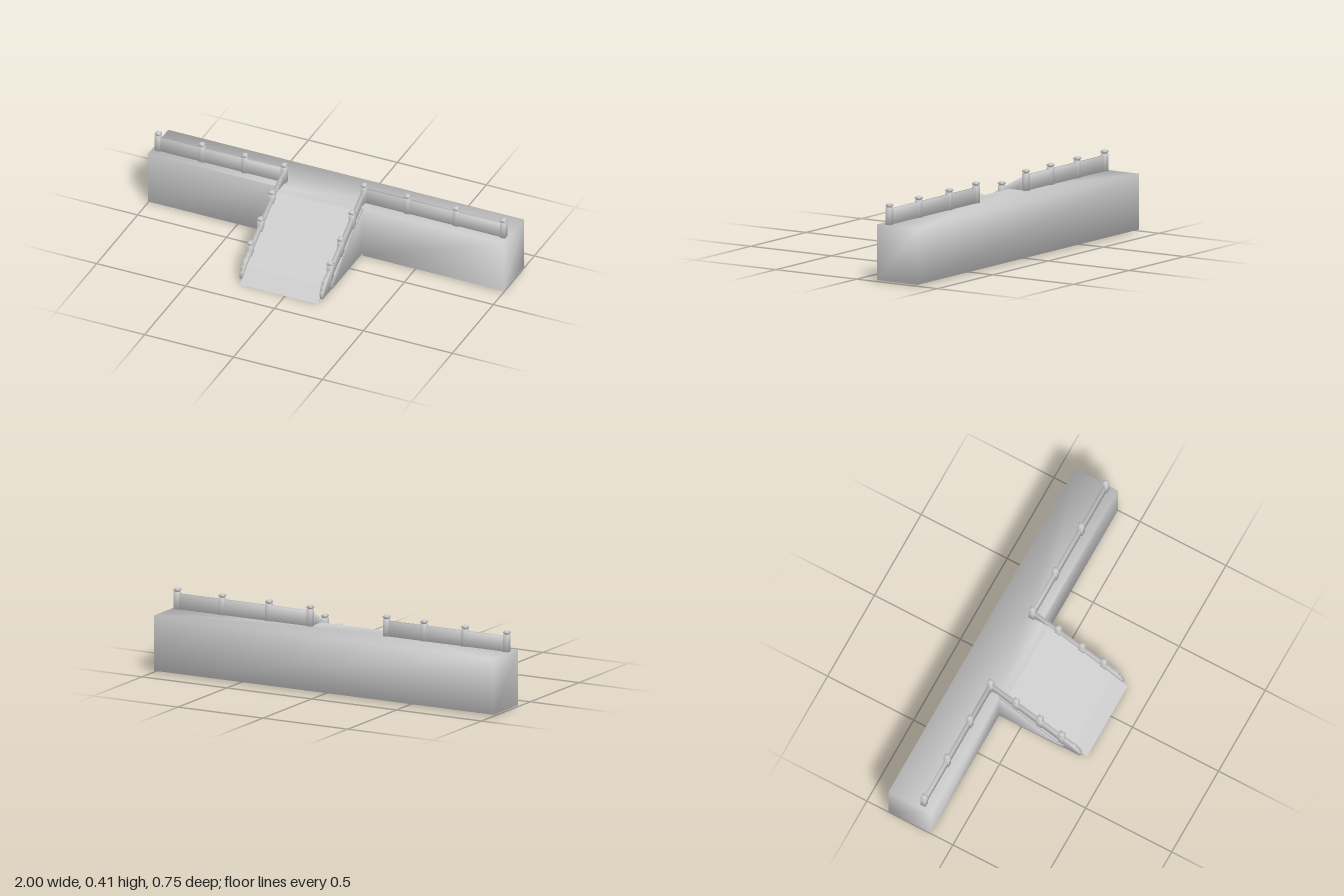
import * as THREE from 'three';

const CENTER = -0.035; // middle of the stair ramp in x
const SIDE = 0.225; // distance from ramp middle to its railings
const LEFT = 0.184, RIGHT = -0.252; // ramp edges
const TOP = 0.3, BASE = 0.01, BACK = -0.375, FRONT = -0.127, LANDING = -0.085, RAIL_Z = -0.184;
const material = new THREE.MeshStandardMaterial({ color: 0xcccccc, side: THREE.DoubleSide });

function add(parent, name, geometry, x = 0, y = 0, z = 0) {
  const mesh = new THREE.Mesh(geometry, material);
  mesh.name = name;
  mesh.position.set(x, y, z);
  parent.add(mesh);
}

// Rounded shading: corners closer than reach share one normal, weighted by face angle
function soften(geometry, reach = 0.001) {
  const g = geometry.index ? geometry.toNonIndexed() : geometry;
  const p = g.attributes.position;
  const points = [], weighted = [], normals = [];
  for (let i = 0; i < p.count; i++) points.push(new THREE.Vector3().fromBufferAttribute(p, i));
  for (let i = 0; i < p.count; i++) {
    const first = i - (i % 3);
    const next = points[first + ((i + 1) % 3)].clone().sub(points[i]);
    const last = points[first + ((i + 2) % 3)].clone().sub(points[i]);
    weighted.push(next.clone().cross(last).normalize().multiplyScalar(next.angleTo(last)));
  }
  points.forEach((point, i) => {
    const n = new THREE.Vector3();
    points.forEach((other, j) => { if (point.distanceTo(other) < reach) n.add(weighted[j]); });
    if (n.length() < 0.01) n.copy(weighted[i]);
    normals.push(...n.normalize().toArray());
  });
  g.setAttribute('normal', new THREE.Float32BufferAttribute(normals, 3));
  return g;
}

// Sheet from flat faces, each a loop of corners counter-clockwise from its front
function sheet(faces, reach) {
  const positions = [];
  for (const f of faces) {
    for (let i = 1; i < f.length - 1; i++) positions.push(...f[0], ...f[i], ...f[i + 1]);
  }
  const g = new THREE.BufferGeometry();
  g.setAttribute('position', new THREE.Float32BufferAttribute(positions, 3));
  return soften(g, reach);
}

// Slab from a [z, y] outline, centred on x
function sideSlab(points, width) {
  const shape = new THREE.Shape(points.map(([z, y]) => new THREE.Vector2(-z, y)));
  const g = new THREE.ExtrudeGeometry(shape, { depth: width, bevelEnabled: false });
  return g.translate(0, 0, -width / 2).rotateY(Math.PI / 2);
}

// Side wall of the ramp, open where it meets the terrace
function sideWallFaces(s) {
  const outer = CENTER + s * (SIDE + 0.016), inner = CENTER + s * (SIDE - 0.004);
  const outline = [[FRONT, 0.024], [0.245, 0.024], [0.245, 0.062], [FRONT, 0.288]];
  const at = (x) => outline.map(([z, y]) => [x, y, z]);
  const o = at(outer), n = at(inner);
  const faces = [[...o].reverse(), n];
  for (let i = 0; i < 3; i++) faces.push([o[i], o[i + 1], n[i + 1], n[i]]);
  return s > 0 ? faces : faces.map((f) => f.reverse());
}

// Square post with a finial
function addPost(parent, x, y, z, height) {
  const post = new THREE.Group();
  post.name = 'post';
  post.position.set(x, y, z);
  add(post, 'postShaft', soften(new THREE.BoxGeometry(0.029, height, 0.029)), 0, height / 2);
  const profile = [[0.009, -0.001], [0.01, 0.003], [0.015, 0.008], [0.015, 0.013], [0.009, 0.02], [0, 0.023]]
    .map(([r, h]) => new THREE.Vector2(r * Math.SQRT2, h));
  add(post, 'postCap', soften(new THREE.LatheGeometry(profile, 4).rotateY(Math.PI / 4)), 0, height);
  parent.add(post);
}

export function createModel() {
  const model = new THREE.Group();
  model.name = 'terraceWithRamp';

  // Terrace: hollow shell, open below and behind the ramp, joined to the ramp's side walls
  const faces = [
    [[-1, TOP, FRONT], [RIGHT, TOP, FRONT], [-1, TOP, BACK]],
    [[RIGHT, TOP, FRONT], [LEFT, TOP, FRONT], [1, TOP, BACK], [-1, TOP, BACK]],
    [[LEFT, TOP, FRONT], [1, TOP, FRONT], [1, TOP, BACK]],
    [[RIGHT, TOP, LANDING], [LEFT, TOP, LANDING], [LEFT, TOP, FRONT], [RIGHT, TOP, FRONT]],
    [[1, BASE, BACK], [-1, BASE, BACK], [-1, TOP, BACK], [1, TOP, BACK]],
    [[1, BASE, FRONT], [1, BASE, BACK], [1, TOP, BACK], [1, TOP, FRONT]],
    [[-1, BASE, BACK], [-1, BASE, FRONT], [-1, TOP, FRONT], [-1, TOP, BACK]],
    // narrow lip under the back wall
    [[-1, BASE, BACK], [1, BASE, BACK], [1, BASE, BACK + 0.018], [-1, BASE, BACK + 0.018]],
  ];
  for (const [a, b] of [[-1, CENTER - SIDE - 0.016], [CENTER + SIDE + 0.016, 1]]) {
    faces.push([[a, BASE, FRONT], [b, BASE, FRONT], [b, TOP, FRONT], [a, TOP, FRONT]]);
  }
  faces.push(...sideWallFaces(1), ...sideWallFaces(-1));
  add(model, 'terraceAndSideWalls', sheet(faces, 0.016));

  // Ramp: long slope and a steeper, wedge-shaped foot
  const ramp = new THREE.Group();
  ramp.name = 'ramp';
  model.add(ramp);
  const path = [[LANDING, TOP], [0.295, 0.068], [0.372, 0.003]];
  ['slope', 'rampFoot'].forEach((name, i) => {
    const [z0, y0] = path[i], [z1, y1] = path[i + 1];
    add(ramp, name, sheet([[[RIGHT, y1, z1], [LEFT, y1, z1], [LEFT, y0, z0], [RIGHT, y0, z0]]]));
  });
  const wedge = [[0.34, 0.029], [0.34, 0.018], [0.371, 0.003]];
  add(ramp, 'footWedge', sideSlab(wedge, LEFT - RIGHT), (LEFT + RIGHT) / 2);

  // Terrace railings
  for (const xs of [[-0.968, -0.722, -0.481, -0.26], [0.19, 0.433, 0.708, 0.973]]) {
    const railing = new THREE.Group();
    railing.name = 'terraceRailing';
    model.add(railing);
    xs.forEach((x) => addPost(railing, x, TOP, RAIL_Z, 0.09));
    const length = xs[3] - xs[0];
    const panel = soften(new THREE.BoxGeometry(length, 0.08, 0.016));
    add(railing, 'railingPanel', panel, xs[0] + length / 2, TOP + 0.04, RAIL_Z);
  }

  // Copings, sloping railings and carved end pieces of the ramp
  const coping = [[0.246, 0.058], [0.246, 0.068], [FRONT, 0.297], [FRONT, 0.286]];
  const panel = [[0.23, 0.07], [0.23, 0.148], [-0.17, 0.374], [-0.17, 0.298], [FRONT, 0.285]];
  const scroll = [[0.243, 0.018], [0.342, 0.018], [0.342, 0.06], [0.335, 0.063], [0.333, 0.076],
    [0.327, 0.086], [0.318, 0.091], [0.315, 0.104], [0.306, 0.111], [0.29, 0.115],
    [0.272, 0.121], [0.265, 0.127], [0.252, 0.131], [0.243, 0.138]];
  for (const s of [-1, 1]) {
    const side = new THREE.Group();
    side.name = s > 0 ? 'leftRampSide' : 'rightRampSide';
    side.position.x = CENTER + s * SIDE;
    model.add(side);
    add(side, 'sideCoping', soften(sideSlab(coping, 0.03)), s * 0.003);
    add(side, 'slopingPanel', soften(sideSlab(panel, 0.015)));
    add(side, 'carvedEnd', soften(sideSlab(scroll, 0.018)));
    for (const [z, y, h] of [[0.23, 0.065, 0.096], [0.104, 0.145, 0.088], [-0.034, 0.225, 0.088]]) {
      addPost(side, 0, y, z, h);
    }
  }
  return model;
}
